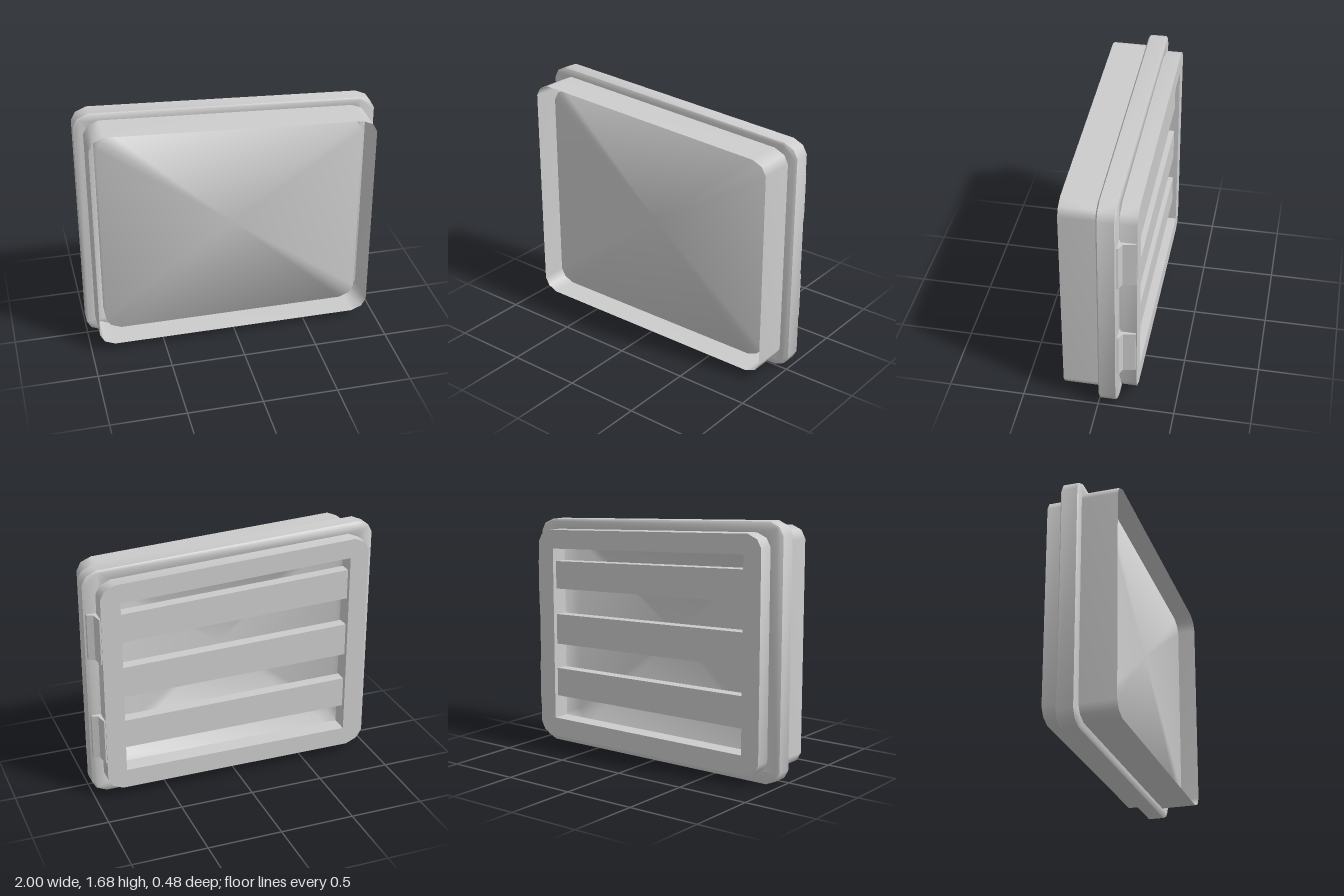
import * as THREE from 'three';
import { mergeVertices, toCreasedNormals } from 'three/addons/utils/BufferGeometryUtils.js';

const SLOPE = -0.05; // fall of the top edge towards +x

// Clipped-corner outline, counter-clockwise; top is the height at the right (-x) corner
function outline(w, bottom, top) {
  const corner = [[0, 0.085], [0.03, 0.03], [0.1, 0]];
  const topAt = x => top + SLOPE * (x + w - 0.1);
  const bl = corner.map(([x, y]) => [-w + x, bottom + y]);
  const br = corner.map(([x, y]) => [w - x, bottom + y]).reverse();
  const tr = corner.map(([x, y]) => [w - x, topAt(w - 0.1) - y]);
  const tl = corner.map(([x, y]) => [-w + x, topAt(-w + 0.1) - y]).reverse();
  return [...bl, ...br, ...tr, ...tl].map(p => new THREE.Vector2(...p));
}

// Thin wall around an outline, with an optional cap at z1
function shell(points, z0, z1, cap) {
  const n = points.length, pos = [], index = [];
  for (const z of [z0, z1]) for (const p of points) pos.push(p.x, p.y, z);
  pos.push(0, 0.84, z1);
  for (let i = 0; i < n; i++) {
    const j = (i + 1) % n;
    index.push(i, j, n + j, i, n + j, n + i);
    if (cap) index.push(n + i, n + j, 2 * n);
  }
  const g = new THREE.BufferGeometry();
  g.setAttribute('position', new THREE.Float32BufferAttribute(pos, 3));
  g.setIndex(index);
  const merged = mergeVertices(g);
  merged.computeVertexNormals();
  return merged;
}

// Ring plate between z0 and z1
function ring(outer, inner, z0, z1, bevel) {
  const shape = new THREE.Shape(outer);
  shape.holes.push(new THREE.Path(inner));
  const t = bevel ? 0.01 : 0;
  const g = new THREE.ExtrudeGeometry(shape, {
    depth: z1 - z0 - 2 * t, bevelEnabled: bevel, bevelThickness: t,
    bevelSize: 0.015, bevelOffset: -0.015, bevelSegments: 1,
  });
  g.translate(0, 0, z0 + t);
  return toCreasedNormals(g, 0.7);
}

export function createModel() {
  const group = new THREE.Group();
  const solid = new THREE.MeshStandardMaterial({ color: 0xcccccc });
  const thin = new THREE.MeshStandardMaterial({ color: 0xcccccc, side: THREE.DoubleSide });
  const add = (name, geometry, material = solid) => {
    const mesh = new THREE.Mesh(geometry, material);
    mesh.name = name;
    group.add(mesh);
    return mesh;
  };

  const panelLine = outline(0.88, 0.1, 1.58);

  // Flange, front collar and the panel set inside it
  add('flange', ring(outline(1, 0, 1.68), panelLine, -0.125, 0, true));
  add('collar', shell(outline(0.94, 0.05, 1.63), -0.005, 0.24, false), thin);
  add('panel', shell(panelLine, -0.125, 0.13, true), thin);

  // Back frame with a square-cornered opening, on a recessed seal
  const openW = 0.79, openBottom = 0.2;
  const openTop = x => 1.48 + SLOPE * (x + openW);
  const opening = [
    [-openW, openBottom], [openW, openBottom],
    [openW, openTop(openW)], [-openW, openTop(-openW)],
  ].map(p => new THREE.Vector2(...p));
  add('backFrame', ring(outline(0.92, 0.07, 1.61), opening, -0.24, -0.135, false));
  add('seal', ring(outline(0.9, 0.09, 1.59), opening, -0.14, -0.12, false));

  // Louvre slats, fanned between the level sill and the sloping head
  const slats = [[0.075, 0.235], [0.385, 0.56], [0.705, 0.87]];
  for (const [a, b] of slats) {
    const at = (x, f) => new THREE.Vector2(x, openTop(x) + (openBottom - openTop(x)) * f);
    const shape = new THREE.Shape([at(-openW, b), at(openW, b), at(openW, a), at(-openW, a)]);
    const g = new THREE.ExtrudeGeometry(shape, { depth: 0.08, bevelEnabled: false });
    add('slat', g.translate(0, 0, -0.21));
  }

  // Hinges on the left edge: a short profile in x and z, drawn out along y
  const profile = [
    [0.89, -0.12], [0.99, -0.12], [0.985, -0.135],
    [0.945, -0.155], [0.93, -0.235], [0.89, -0.235],
  ].map(([x, z]) => new THREE.Vector2(x, -z));
  for (const y of [0.28, 1.0]) {
    const g = new THREE.ExtrudeGeometry(new THREE.Shape(profile), { depth: 0.31, bevelEnabled: false });
    g.rotateX(-Math.PI / 2);
    add('hinge', g).position.y = y;
  }

  return group;
}
